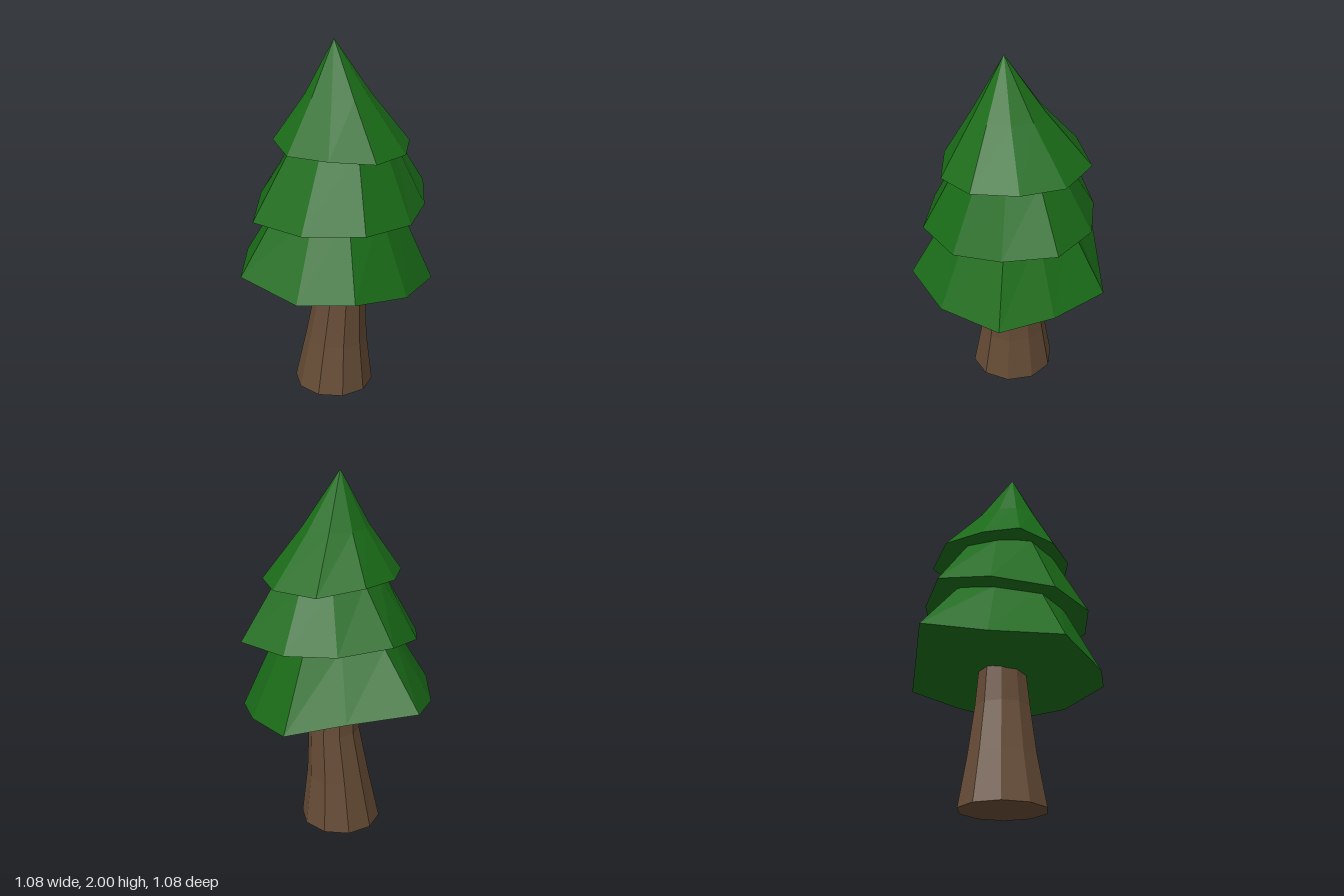
import * as THREE from 'three';

const SIDES = 10;

// Skin a stack of rings (low to high), closing the bottom and top with fans.
function loft(rings, bottom, top) {
  const pos = [];
  const tri = (...points) => points.forEach((p) => pos.push(...p));
  const last = rings[rings.length - 1];
  for (let i = 0; i < SIDES; i++) {
    const j = (i + 1) % SIDES;
    tri(bottom, rings[0][i], rings[0][j]);
    for (let k = 0; k < rings.length - 1; k++) {
      const lo = rings[k], hi = rings[k + 1];
      tri(lo[i], hi[i], lo[j]);
      tri(lo[j], hi[i], hi[j]);
    }
    tri(top, last[j], last[i]);
  }
  const geometry = new THREE.BufferGeometry();
  geometry.setAttribute('position', new THREE.Float32BufferAttribute(pos, 3));
  geometry.computeVertexNormals();
  return geometry;
}

// Elliptical trunk ring around (cx, cz).
function trunkRing([y, cx, cz, rx, rz]) {
  return Array.from({ length: SIDES }, (_, i) => {
    const a = THREE.MathUtils.degToRad(14 + i * 360 / SIDES);
    return [cx + rx * Math.cos(a), y, cz + rz * Math.sin(a)];
  });
}

// Foliage tier: a ragged rim, a shrunken waist ring and a tip.
function tierGeometry({ rim, waist, tip }) {
  const { y, scale, x, z } = waist;
  const upper = rim.map((p) => [x + p[0] * scale, y, z + p[2] * scale]);
  const meanY = rim.reduce((sum, p) => sum + p[1], 0) / SIDES;
  return loft([rim, upper], [0, meanY, 0], tip);
}

// Rim corners run from the left side (+x) round through the front.
const TIERS = [
  {
    name: 'lowerFoliage',
    rim: [
      [0.53, 0.67, 0.11], [0.32, 0.69, 0.40], [0.02, 0.73, 0.54], [-0.27, 0.70, 0.43], [-0.54, 0.76, 0.16],
      [-0.48, 0.77, -0.22], [-0.34, 0.84, -0.54], [0.03, 0.79, -0.51], [0.35, 0.735, -0.485], [0.495, 0.71, -0.19],
    ],
    waist: { y: 1.13, scale: 0.6, x: 0.01, z: -0.01 },
    tip: [0, 1.4, 0],
  },
  {
    name: 'middleFoliage',
    rim: [
      [0.48, 1.10, 0.09], [0.35, 1.07, 0.325], [0.085, 1.07, 0.465], [-0.235, 1.06, 0.385], [-0.465, 1.06, 0.135],
      [-0.395, 1.12, -0.19], [-0.22, 1.17, -0.44], [0.07, 1.14, -0.465], [0.335, 1.14, -0.40], [0.54, 1.15, -0.19],
    ],
    waist: { y: 1.46, scale: 0.58, x: 0.03, z: -0.01 },
    tip: [0.01, 1.68, 0],
  },
  {
    name: 'topFoliage',
    rim: [
      [0.41, 1.44, -0.01], [0.335, 1.425, 0.23], [0.155, 1.415, 0.36], [-0.085, 1.43, 0.325], [-0.28, 1.43, 0.185],
      [-0.335, 1.47, -0.02], [-0.265, 1.46, -0.21], [-0.085, 1.47, -0.385], [0.17, 1.44, -0.42], [0.37, 1.44, -0.25],
    ],
    waist: { y: 1.71, scale: 0.48, x: -0.005, z: 0.01 },
    tip: [-0.01, 2, 0.015],
  },
];

export function createModel() {
  const group = new THREE.Group();
  group.name = 'pineTree';
  const bark = new THREE.MeshStandardMaterial({ color: 0x654b35, flatShading: true });
  const leaves = new THREE.MeshStandardMaterial({ color: 0x1a6b18, flatShading: true });

  const add = (name, geometry, material) => {
    const mesh = new THREE.Mesh(geometry, material);
    mesh.name = name;
    group.add(mesh);
  };

  // Trunk: flared at the root, leaning slightly, ending inside the foliage.
  const trunkRings = [
    [0, -0.005, -0.036, 0.225, 0.238],
    [0.28, 0.01, -0.035, 0.177, 0.19],
    [0.56, 0.032, -0.03, 0.143, 0.155],
    [0.85, 0.025, -0.035, 0.118, 0.125],
  ].map(trunkRing);
  add('trunk', loft(trunkRings, [-0.005, 0, -0.036], [0.025, 0.85, -0.035]), bark);

  // Three stacked foliage tiers
  for (const tier of TIERS) add(tier.name, tierGeometry(tier), leaves);

  return group;
}
